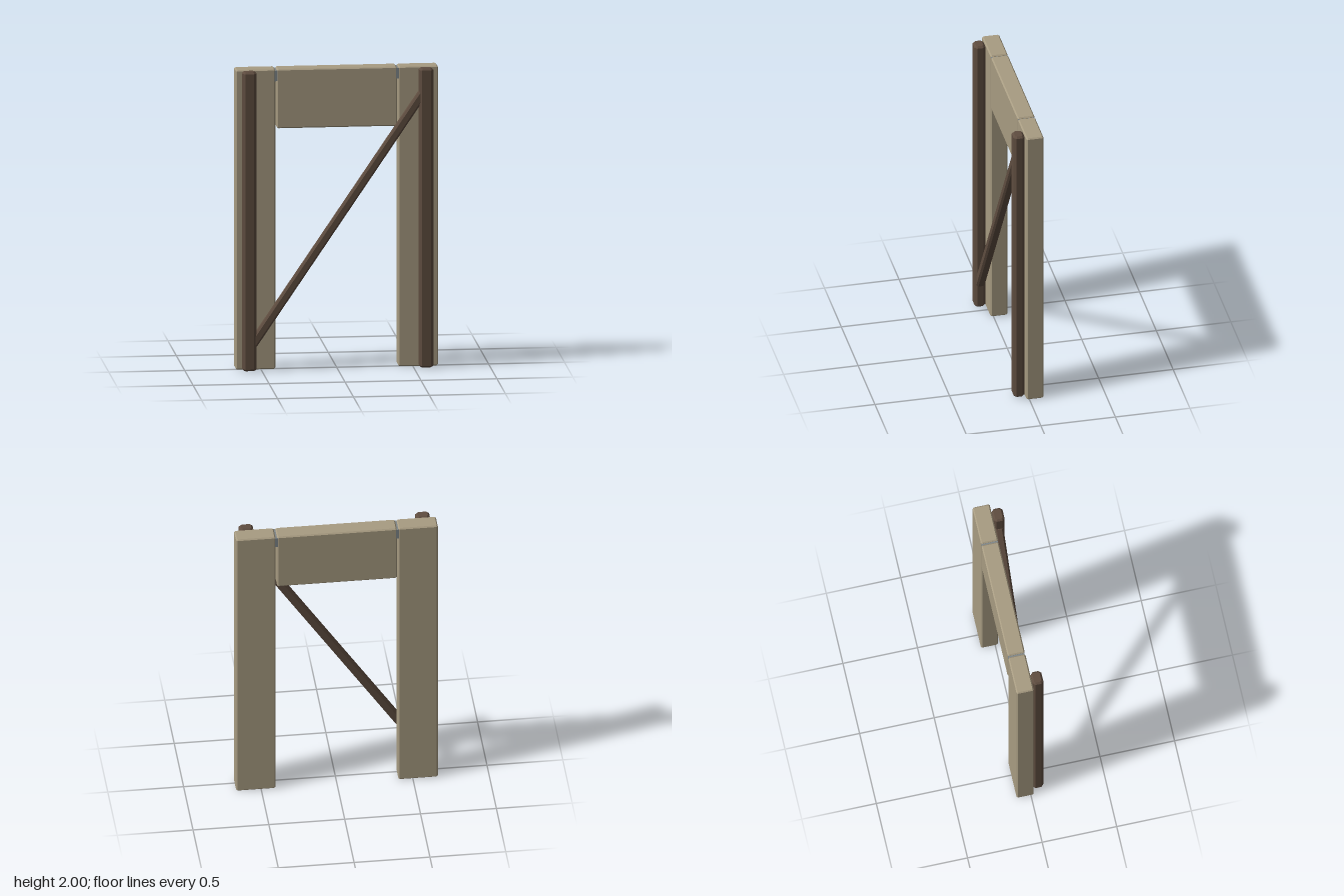
import * as THREE from 'three';

const stone = new THREE.MeshStandardMaterial({ color: 0xa89c82, flatShading: true });
const wood = new THREE.MeshStandardMaterial({ color: 0x5f4d40, flatShading: true });
const slate = new THREE.MeshStandardMaterial({ color: 0x7f878a, flatShading: true });

// Box with one flat chamfer along every edge; c = side chamfer, e = end chamfer, long axis y
function chamferBox(w, h, d, c, e = c) {
  const loop = (x, z, k) => [
    [x - k, z], [x, z - k], [x, k - z], [x - k, -z],
    [k - x, -z], [-x, k - z], [-x, z - k], [k - x, z],
  ];
  const x = w / 2, y = h / 2, z = d / 2;
  const rings = [
    [-y, loop(x - e, z - e, c * 0.5)], [-y + e, loop(x, z, c)],
    [y - e, loop(x, z, c)], [y, loop(x - e, z - e, c * 0.5)],
  ];
  const pos = [], idx = [];
  rings.forEach(([ry, pts]) => pts.forEach(([px, pz]) => pos.push(px, ry, pz)));
  for (let r = 0; r < 3; r++) {
    for (let i = 0; i < 8; i++) {
      const a = r * 8 + i, b = r * 8 + (i + 1) % 8;
      idx.push(a, b, a + 8, b, b + 8, a + 8);
    }
  }
  // End caps
  for (let i = 1; i < 7; i++) idx.push(0, i + 1, i, 24, 24 + i, 24 + i + 1);
  const g = new THREE.BufferGeometry();
  g.setAttribute('position', new THREE.Float32BufferAttribute(pos, 3));
  g.setIndex(idx);
  const flat = g.toNonIndexed();
  flat.computeVertexNormals();
  return flat;
}

export function createModel() {
  const model = new THREE.Group();
  model.name = 'doorFrame';
  const add = (name, geometry, material, x, y, z) => {
    const mesh = new THREE.Mesh(geometry, material);
    mesh.name = name;
    mesh.position.set(x, y, z);
    model.add(mesh);
    return mesh;
  };

  // Jambs and the timber posts in front of them
  for (const [side, s] of [['left', 1], ['right', -1]]) {
    add(side + 'Jamb', chamferBox(0.26, 2, 0.115, 0.008), stone, s * 0.535, 1, -0.0375);
    add(side + 'Post', chamferBox(0.092, 1.995, 0.073, 0.017, 0.012), wood, s * 0.582, 1, 0.0585);
  }

  // Lintel between the jambs, and the tie running through all three
  add('lintel', chamferBox(0.79, 0.395, 0.115, 0.008), stone, 0, 1.8025, -0.0375);
  add('tieBar', new THREE.BoxGeometry(1.31, 0.07, 0.108), slate, 0, 1.955, -0.0375);

  // Diagonal brace from the foot of the right post to the head of the left post
  const from = new THREE.Vector2(-0.56, 0.175), to = new THREE.Vector2(0.56, 1.83);
  const span = to.clone().sub(from);
  const brace = add('diagonalBrace', chamferBox(0.058, span.length(), 0.057, 0.012, 0.008),
    wood, 0, (from.y + to.y) / 2, 0.0565);
  brace.rotation.z = -Math.atan2(span.x, span.y);

  return model;
}
